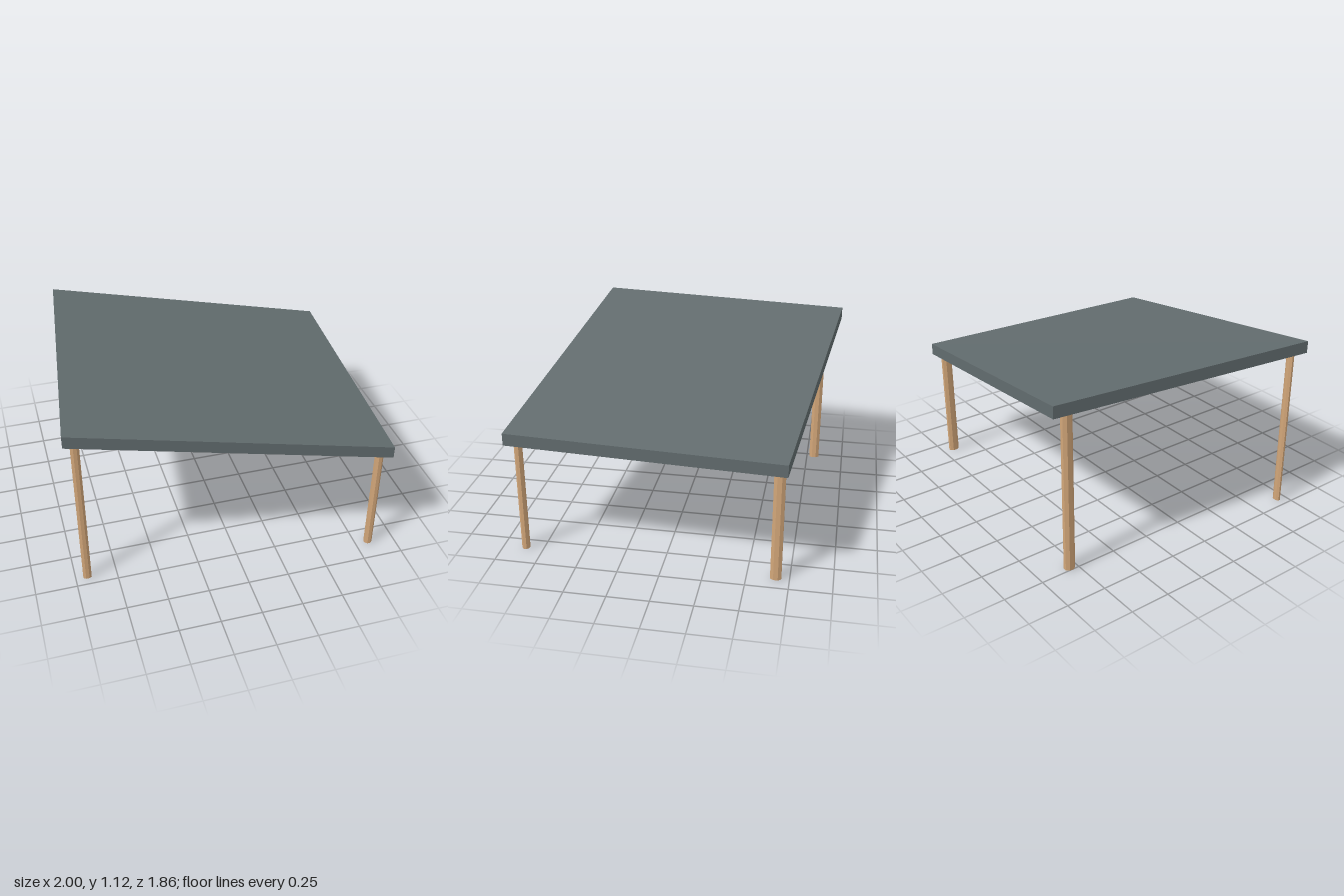
import * as THREE from 'three';

const THICKNESS = 0.075;

// Slanted slab with vertical edges; corners run counter-clockwise seen from above.
function slabGeometry(corners) {
  const top = corners.map(c => new THREE.Vector3(...c));
  const low = top.map(p => p.clone().setY(p.y - THICKNESS));
  const pos = [];
  const quad = (a, b, c, d) => [a, b, c, a, c, d].forEach(p => pos.push(p.x, p.y, p.z));
  quad(...top);
  quad(low[0], low[3], low[2], low[1]);
  for (let i = 0; i < 4; i++) {
    const j = (i + 1) % 4;
    quad(low[i], low[j], top[j], top[i]);
  }
  const geo = new THREE.BufferGeometry();
  geo.setAttribute('position', new THREE.Float32BufferAttribute(pos, 3));
  geo.computeVertexNormals();
  return geo;
}

export function createModel() {
  const slate = new THREE.MeshStandardMaterial({ color: 0x626c6e });
  slate.name = 'slateGrey';
  const wood = new THREE.MeshStandardMaterial({ color: 0xd2a679 });
  wood.name = 'lightWood';

  const model = new THREE.Group();
  model.name = 'canopy';

  // Roof slab, sloping down toward +x
  const roof = new THREE.Mesh(slabGeometry([
    [-1, 1.115, 0.75],
    [0.89, 0.785, 0.93],
    [1, 0.785, -0.72],
    [-0.8, 1.115, -0.93],
  ]), slate);
  roof.name = 'roof';
  model.add(roof);

  // Posts: name, x, z, height, width, depth (tops are sunk slightly into the slab)
  const posts = [
    ['frontRightPost', -0.929, 0.688, 1.045, 0.05, 0.032],
    ['backRightPost', -0.727, -0.8, 1.04, 0.053, 0.065],
    ['frontLeftPost', 0.834, 0.86, 0.74, 0.048, 0.045],
    ['backLeftPost', 0.9, -0.67, 0.745, 0.046, 0.065],
  ];
  for (const [name, x, z, height, width, depth] of posts) {
    // Eight-sided post with its flats facing the axes
    const r = 0.5 / Math.cos(Math.PI / 8);
    const geo = new THREE.CylinderGeometry(r, r, height, 8).toNonIndexed();
    geo.rotateY(Math.PI / 8);
    geo.scale(width, 1, depth);
    geo.computeVertexNormals();
    const post = new THREE.Mesh(geo, wood);
    post.name = name;
    post.position.set(x, height / 2, z);
    model.add(post);
  }
  return model;
}
